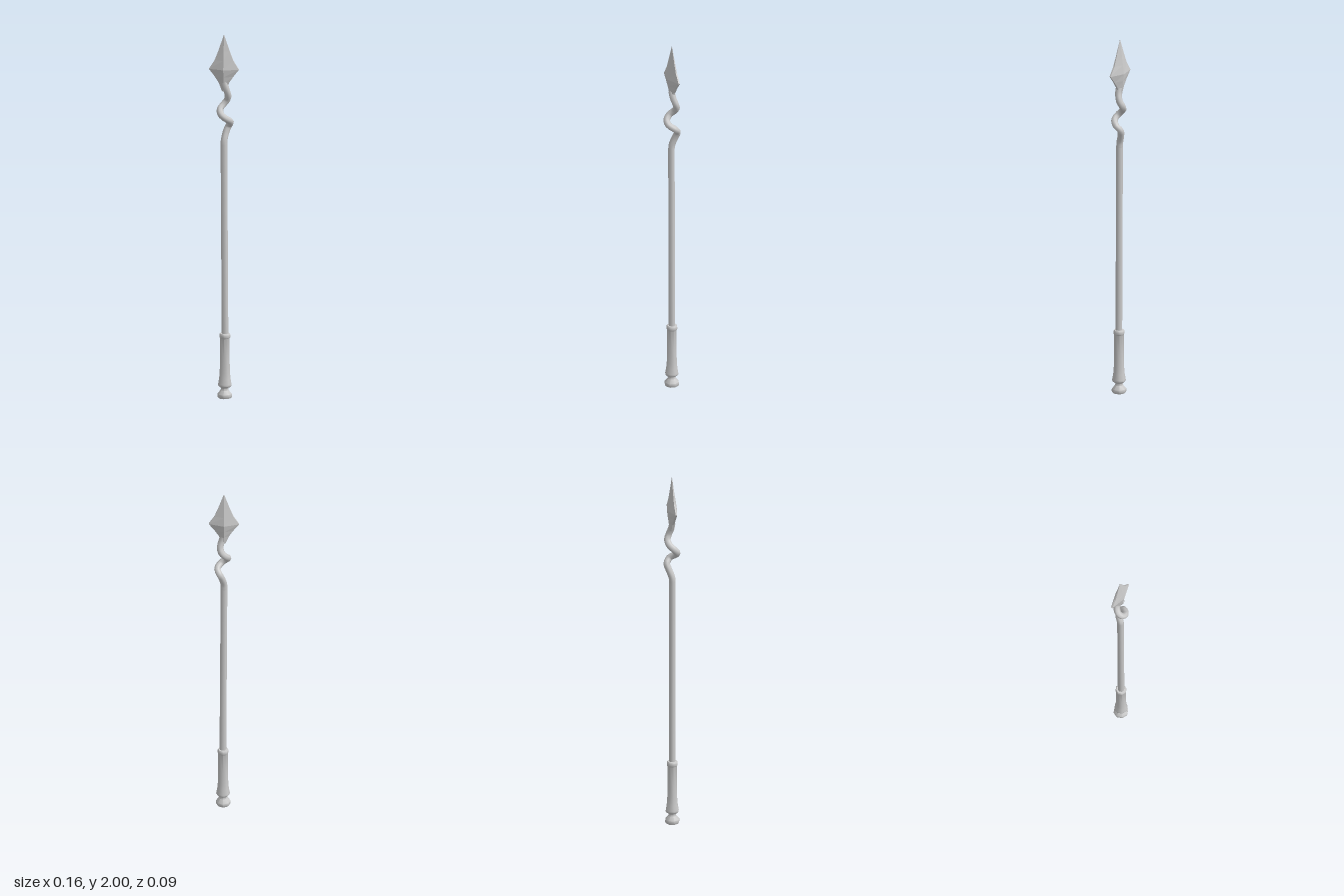
import * as THREE from 'three';
import { toCreasedNormals } from 'three/addons/utils/BufferGeometryUtils.js';

const SIDES = 8;

export function createModel() {
  const group = new THREE.Group();
  const smooth = new THREE.MeshStandardMaterial({ color: 0xcccccc });
  const faceted = new THREE.MeshStandardMaterial({ color: 0xcccccc, flatShading: true });

  const add = (name, geometry, material = smooth) => {
    const mesh = new THREE.Mesh(geometry, material);
    mesh.name = name;
    group.add(mesh);
    return mesh;
  };

  const turned = (points) => toCreasedNormals(
    new THREE.LatheGeometry(points.map(([r, y]) => new THREE.Vector2(r, y)), SIDES), 0.85);

  // Pommel: flanged foot with a narrow neck
  add('pommel', turned([
    [0, 0], [0.036, 0], [0.04, 0.008], [0.039, 0.022], [0.022, 0.042], [0.02, 0.052], [0.027, 0.064], [0, 0.064],
  ])).position.x = 0.004;

  // Grip: sleeve flared at the foot, with a raised collar on top
  add('grip', turned([
    [0, 0.06], [0.031, 0.06], [0.037, 0.068], [0.036, 0.077], [0.031, 0.105], [0.028, 0.14], [0.026, 0.2],
    [0.026, 0.328], [0.03, 0.334], [0.03, 0.348], [0.026, 0.355], [0, 0.355],
  ])).position.x = 0.005;

  // Shaft, leaning very slightly
  const line = new THREE.LineCurve3(new THREE.Vector3(0.006, 0.34, 0), new THREE.Vector3(0, 1.4, 0));
  add('shaft', new THREE.TubeGeometry(line, 1, 0.018, SIDES));

  // Corkscrew neck between the shaft and the spearhead
  const path = [
    [0, 1.39, 0], [0.001, 1.42, -0.003], [0.01, 1.465, -0.018], [0.022, 1.495, -0.025], [0.035, 1.522, -0.004],
    [0.012, 1.545, 0.024], [-0.012, 1.565, 0.022], [-0.021, 1.59, 0], [-0.006, 1.612, -0.02],
    [0.012, 1.635, -0.025], [0.02, 1.662, -0.015], [0.012, 1.7, -0.003], [0, 1.74, 0],
  ].map((p) => new THREE.Vector3(...p));
  add('twistedNeck', new THREE.TubeGeometry(new THREE.CatmullRomCurve3(path), 36, 0.018, SIDES));

  // Spearhead: stacked six-sided sections [y, half width, half depth, half edge thickness]
  const sections = [
    [1.69, 0.01, 0.012, 0.006], [1.735, 0.027, 0.018, 0.006], [1.77, 0.05, 0.023, 0.005], [1.81, 0.081, 0.028, 0.004],
    [1.86, 0.05, 0.021, 0.004], [1.91, 0.031, 0.013, 0.003], [2, 0.0005, 0.0005, 0.0003],
  ];
  const position = [];
  const index = [];
  for (const [y, w, d, e] of sections) {
    position.push(w, y, e, 0, y, d, -w, y, e, -w, y, -e, 0, y, -d, w, y, -e);
  }
  for (let s = 0; s < sections.length - 1; s++) {
    for (let i = 0; i < 6; i++) {
      const a = s * 6 + i;
      const b = s * 6 + (i + 1) % 6;
      index.push(a, a + 6, b, b, a + 6, b + 6);
    }
  }
  const top = (sections.length - 1) * 6;
  for (let i = 1; i < 5; i++) {
    index.push(0, i, i + 1, top, top + i + 1, top + i);
  }
  const blade = new THREE.BufferGeometry();
  blade.setAttribute('position', new THREE.Float32BufferAttribute(position, 3));
  blade.setIndex(index);
  blade.computeVertexNormals();
  add('spearhead', blade, faceted).position.z = -0.003;

  return group;
}
